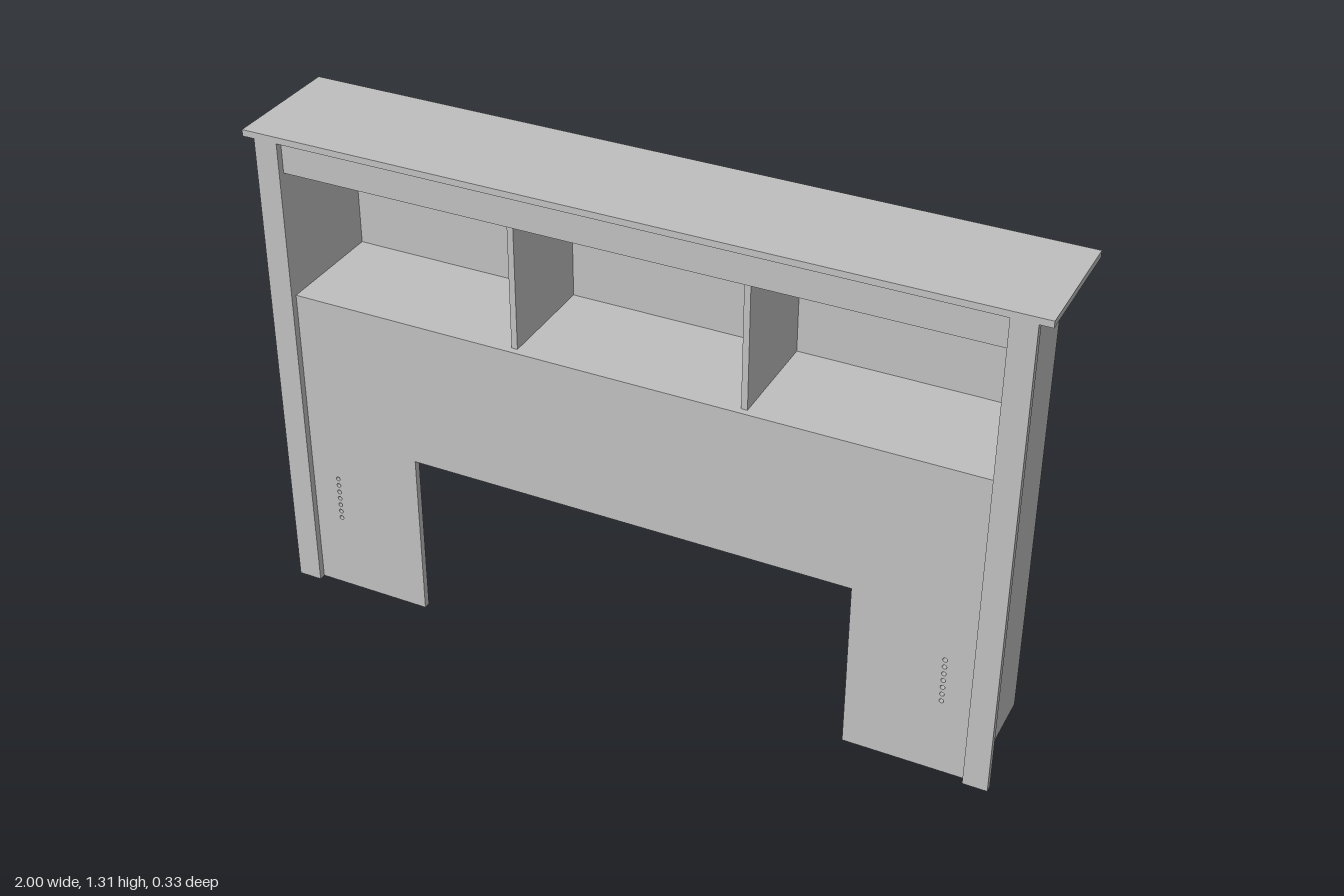
import * as THREE from 'three';

export function createModel() {
  const group = new THREE.Group();
  group.name = 'bookcaseHeadboard';
  const board = new THREE.MeshStandardMaterial({ color: 0xc0c0c0 });
  board.name = 'grey board';

  const T = 0.018;              // board thickness
  const BACK = -0.165, FRONT = 0.165;
  const FACE = FRONT - T;       // front of rails, panels and shelf
  const INNER = 0.905;          // inside face of the side panels
  const TOP = 1.29, SHELF = 0.85, APRON = 0.465;

  // Board given by its lower and upper limits on each axis
  function slab(name, x0, x1, y0, y1, z0, z1) {
    const mesh = new THREE.Mesh(new THREE.BoxGeometry(x1 - x0, y1 - y0, z1 - z0), board);
    mesh.position.set((x0 + x1) / 2, (y0 + y1) / 2, (z0 + z1) / 2);
    mesh.name = name;
    group.add(mesh);
  }

  // Boards across the full width
  slab('topBoard', -1, 1, TOP, 1.307, BACK, FRONT);
  slab('topRail', -INNER, INNER, 1.205, TOP, FACE - T, FACE);
  slab('shelf', -INNER, INNER, SHELF, SHELF + T, BACK + 0.008, FACE);
  slab('frontPanel', -INNER, INNER, APRON, SHELF, FACE - T, FACE);
  slab('backPanel', -INNER, INNER, SHELF, TOP, BACK, BACK + 0.008);

  // Leg panel with a column of adjustment holes
  const legShape = new THREE.Shape();
  legShape.moveTo(0.59, 0).lineTo(INNER, 0).lineTo(INNER, APRON).lineTo(0.59, APRON).closePath();
  for (let i = 0; i < 7; i++) {
    const hole = new THREE.Path();
    hole.absarc(0.83, 0.215 + i * 0.0205, 0.006, 0, Math.PI * 2, true);
    legShape.holes.push(hole);
  }
  const legGeometry = new THREE.ExtrudeGeometry(legShape, { depth: T, bevelEnabled: false, curveSegments: 6 });

  // Small bolt heads on the inside faces
  const boltGeometry = new THREE.CylinderGeometry(0.007, 0.007, 0.004, 12);
  function bolt(x, y, z, onSide) {
    const mesh = new THREE.Mesh(boltGeometry, board);
    if (onSide) mesh.rotation.z = Math.PI / 2;
    else mesh.rotation.x = Math.PI / 2;
    mesh.position.set(x, y, z);
    mesh.name = 'bolt';
    group.add(mesh);
  }

  for (const s of [-1, 1]) {
    const side = s > 0 ? 'left' : 'right';
    const span = (a, b) => (s > 0 ? [a, b] : [-b, -a]);

    slab(side + 'SidePanel', ...span(INNER, 0.925), 0, TOP, BACK, FACE);
    slab(side + 'Stile', ...span(INNER, 0.968), 0, TOP, FACE, FRONT);
    slab(side + 'Divider', ...span(0.291, 0.307), SHELF + T, TOP, BACK + 0.008, FACE - T);

    const leg = new THREE.Mesh(legGeometry, board);
    // Half a turn mirrors the symmetrical panel to the other side
    if (s < 0) leg.rotation.y = Math.PI;
    leg.position.z = s > 0 ? FACE - T : FACE;
    leg.name = side + 'LegPanel';
    group.add(leg);

    for (const [x, y] of [[0.865, 0.53], [0.865, 0.43], [0.725, 0.44], [0.865, 0.04]]) {
      bolt(s * x, y, FACE - T, false);
    }
    for (const y of [0.69, 0.07]) bolt(s * INNER, y, 0.095, true);
  }

  return group;
}
